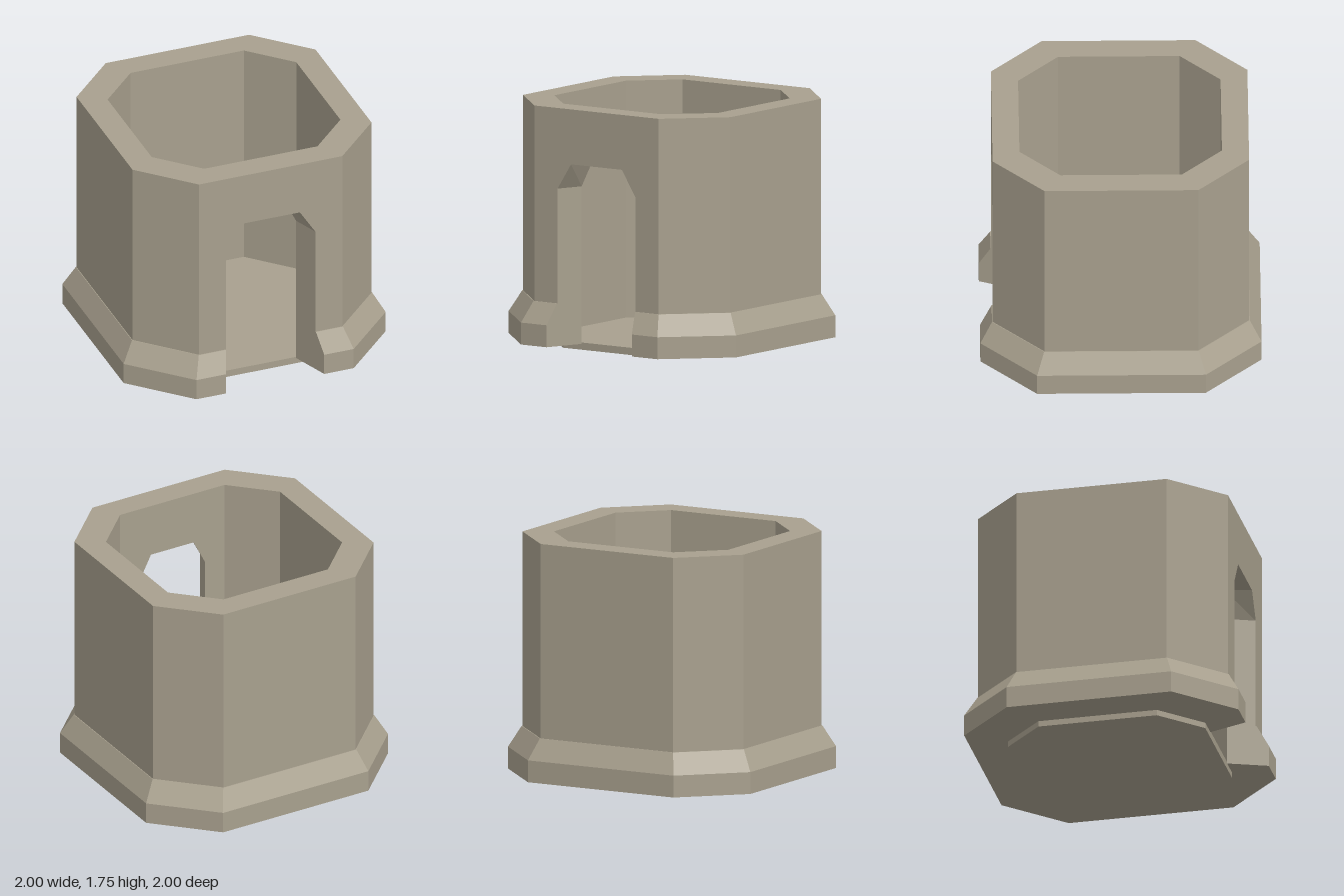
import * as THREE from 'three';

// Octagon corner directions (x, z) at unit apothem, starting front-left and going round
const CORNERS = [[0.6, 1], [1, 0.6], [1, -0.6], [0.6, -1], [-0.6, -1], [-1, -0.6], [-1, 0.6], [-0.6, 1]];
const JAMB = 0.375, CROWN = 0.245; // doorway slopes, x per unit of z
const INNER = 0.72, OUTER = 0.912, TOP = 1.755, SHOULDER = 1.175, ARCH = 1.36;

// Sweeps a closed [radius, y] profile through sections { dir, profile }; caps close its ends
function sweep(sections, cap) {
  const pos = [];
  const point = ([x, z], [r, y]) => [x * r, y, z * r];
  const tri = (a, b, c) => pos.push(...a, ...b, ...c);
  for (let i = 0; i < sections.length - 1; i++) {
    const s = sections[i], t = sections[i + 1], n = s.profile.length;
    for (let j = 0; j < n; j++) {
      const k = (j + 1) % n;
      if (s.profile[j][0] === 0 && s.profile[k][0] === 0) continue;
      const a = point(s.dir, s.profile[j]), b = point(t.dir, t.profile[j]);
      const c = point(t.dir, t.profile[k]), d = point(s.dir, s.profile[k]);
      if (s.profile[j][0] !== 0) tri(a, b, c);
      if (s.profile[k][0] !== 0) tri(a, c, d);
    }
  }
  if (cap) {
    const first = sections[0].dir, last = sections[sections.length - 1].dir;
    const faces = THREE.ShapeUtils.triangulateShape(cap.map(p => new THREE.Vector2(...p)), []);
    for (const [a, b, c] of faces) {
      tri(point(first, cap[a]), point(first, cap[b]), point(first, cap[c]));
      tri(point(last, cap[a]), point(last, cap[c]), point(last, cap[b]));
    }
  }
  const geometry = new THREE.BufferGeometry();
  geometry.setAttribute('position', new THREE.Float32BufferAttribute(pos, 3));
  geometry.computeVertexNormals();
  return geometry;
}

export function createModel() {
  const group = new THREE.Group();
  const stone = new THREE.MeshStandardMaterial({ color: 0xa8a08e });
  stone.name = 'stone';
  const add = (name, geometry) => {
    const mesh = new THREE.Mesh(geometry, stone);
    mesh.name = name;
    group.add(mesh);
  };

  // Wall with flared skirt, running from one door jamb round to the other
  const wall = top => [[INNER, 0.042], [1, 0.042], [1, 0.2], [0.917, 0.35], [OUTER, 0.35], [OUTER, top], [INNER, top]];
  const path = [[JAMB, 1], ...CORNERS, [-JAMB, 1]];
  add('wall', sweep(path.map(dir => ({ dir, profile: wall(TOP) })), wall(SHOULDER)));

  // Wall above the doorway, with a chamfered arch
  const arch = [[-JAMB, SHOULDER], [-CROWN, ARCH], [CROWN, ARCH], [JAMB, SHOULDER]];
  add('doorArch', sweep(arch.map(([x, y]) => ({
    dir: [x, 1],
    profile: [[INNER, y], [OUTER, y], [OUTER, TOP], [INNER, TOP]],
  }))));

  // Floor slab
  const slab = [[0, 0], [INNER, 0], [INNER, 0.052], [0, 0.052]];
  add('floor', sweep([...CORNERS, CORNERS[0]].map(dir => ({ dir, profile: slab }))));

  return group;
}
